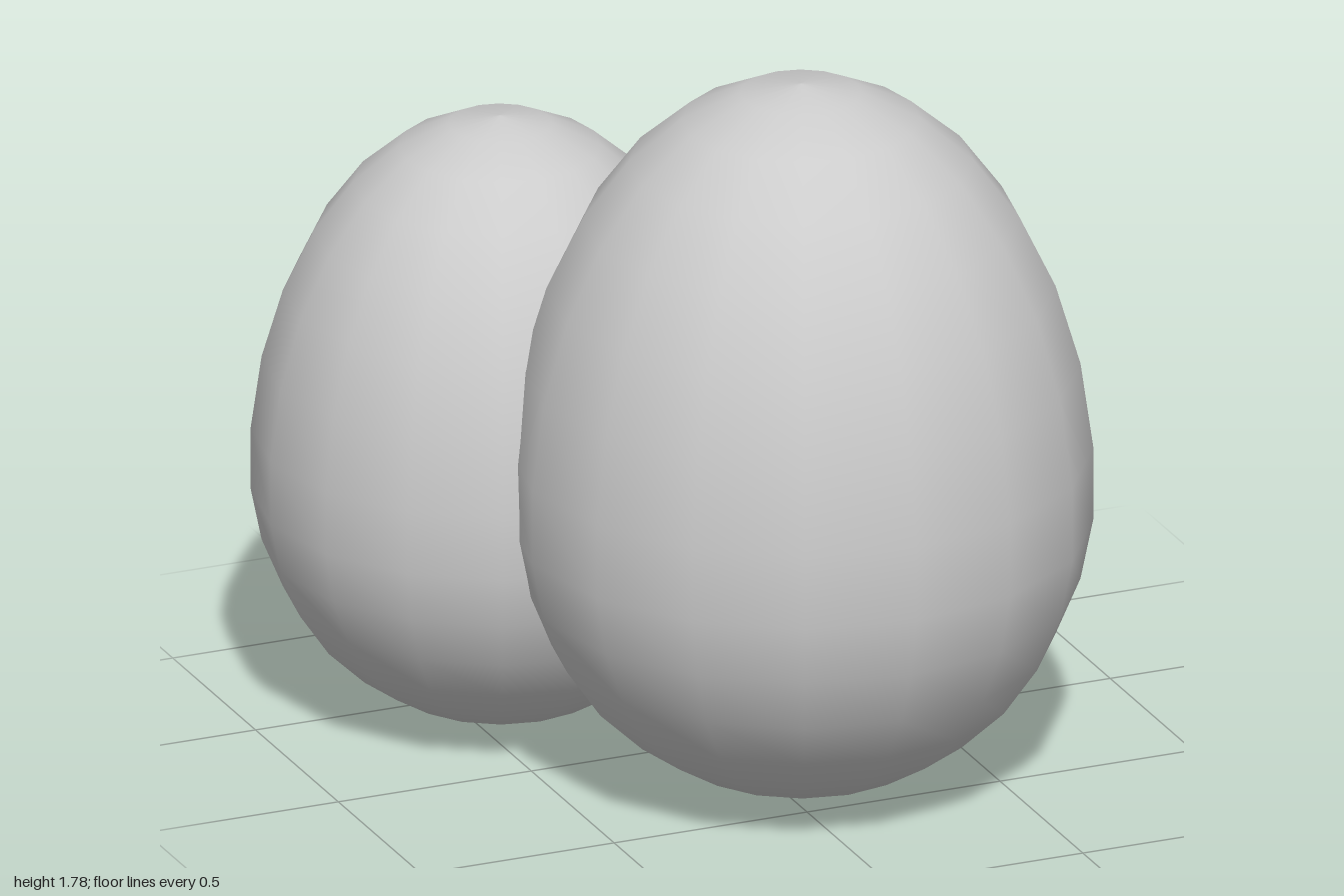
import * as THREE from 'three';

// Egg outline from base to tip: a circle stretched more above its waist than below.
const RADIUS = 0.7, WAIST = 0.74, TIP = 1.045, RINGS = 15, SIDES = 16;

function eggGeometry() {
  const profile = [];
  for (let i = 0; i <= RINGS; i++) {
    const a = Math.PI * (1 - i / RINGS);
    const r = i === 0 || i === RINGS ? 0 : RADIUS * Math.sin(a);
    const c = Math.cos(a);
    profile.push(new THREE.Vector2(r, WAIST + c * (c > 0 ? TIP : WAIST)));
  }
  return new THREE.LatheGeometry(profile, SIDES);
}

export function createModel() {
  const group = new THREE.Group();
  group.name = 'eggCluster';
  const material = new THREE.MeshStandardMaterial({ color: 0xcccccc });
  const geometry = eggGeometry();

  // name, x, z, scale
  const eggs = [
    ['largeFrontEgg', 0.07, 0.3, 1],
    ['mediumBackEgg', -0.41, -0.4, 0.852],
    ['smallBackEgg', 0.468, -0.462, 0.763],
  ];
  for (const [name, x, z, scale] of eggs) {
    const egg = new THREE.Mesh(geometry, material);
    egg.name = name;
    egg.position.set(x, 0, z);
    egg.scale.setScalar(scale);
    group.add(egg);
  }
  return group;
}
